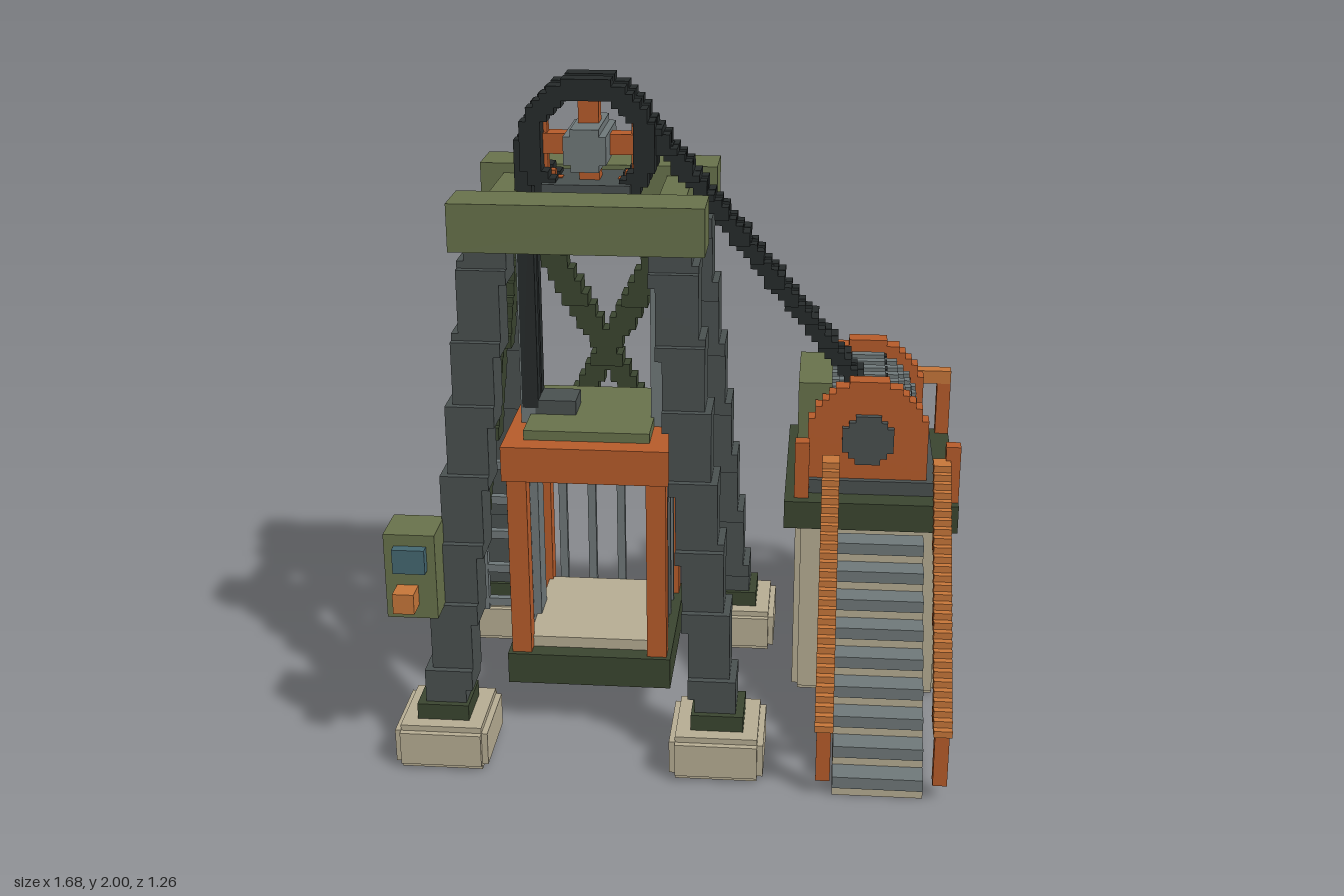
import * as THREE from 'three';

const V = 1 / 48; // block size of the stepped parts
const mat = (c) => new THREE.MeshStandardMaterial({ color: c, flatShading: true });
const M = {
  stone: mat(0xb8ae94), dark: mat(0x3b4630), olive: mat(0x69734c), orange: mat(0xb85c2b), rail: mat(0xc8773a),
  gray: mat(0x70797a), steel: mat(0x4a5150), black: mat(0x262b2b), blue: mat(0x456872),
};

// Stepped solid: every cell whose centre passes inside() is filled, outer faces only
function blocks(min, max, inside, cell = [V, V, V]) {
  const n = [0, 1, 2].map((k) => Math.max(1, Math.round((max[k] - min[k]) / cell[k])));
  const d = n.map((c, k) => (max[k] - min[k]) / c);
  const full = (c) => c.every((q, k) => q >= 0 && q < n[k]) &&
    inside(...c.map((q, k) => min[k] + (q + 0.5) * d[k]));
  const pos = [], idx = [];
  for (let i = 0; i < n[0]; i++) for (let j = 0; j < n[1]; j++) for (let l = 0; l < n[2]; l++) {
    const c = [i, j, l];
    if (!full(c)) continue;
    for (let a = 0; a < 3; a++) for (const s of [0, 1]) {
      const next = c.slice();
      next[a] += s ? 1 : -1;
      if (full(next)) continue;
      const u = (a + 1) % 3, w = (a + 2) % 3, base = pos.length / 3;
      for (const [p, q] of [[0, 0], [1, 0], [1, 1], [0, 1]]) {
        const e = c.slice();
        e[a] += s; e[u] += p; e[w] += q;
        pos.push(...e.map((t, k) => min[k] + t * d[k]));
      }
      idx.push(...(s ? [0, 1, 2, 0, 2, 3] : [0, 2, 1, 0, 3, 2]).map((t) => base + t));
    }
  }
  const g = new THREE.BufferGeometry();
  g.setAttribute('position', new THREE.Float32BufferAttribute(pos, 3));
  g.setIndex(idx);
  g.computeVertexNormals();
  const flat = g.toNonIndexed();
  flat.computeVertexNormals();
  return flat;
}

export function createModel() {
  const root = new THREE.Group();
  const add = (name, geo, m) => {
    const mesh = new THREE.Mesh(geo, M[m]);
    mesh.name = name;
    root.add(mesh);
    return mesh;
  };
  // Box given by its two ends on each axis
  const box = (name, m, x0, x1, y0, y1, z0, z1) => {
    const b = add(name, new THREE.BoxGeometry(x1 - x0, y1 - y0, z1 - z0), m);
    b.position.set((x0 + x1) / 2, (y0 + y1) / 2, (z0 + z1) / 2);
  };
  // Block with edges notched by one step
  const softBox = (name, m, x0, x1, y0, y1, z0, z1) => {
    const c = 0.018;
    box(name, m, x0, x1, y0 + c, y1 - c, z0 + c, z1 - c);
    box(name, m, x0 + c, x1 - c, y0, y1, z0 + c, z1 - c);
    box(name, m, x0 + c, x1 - c, y0 + c, y1 - c, z0, z1);
  };
  // Stepped beam from low point a to high point b, half widths hx and hz
  const beam = (name, m, a, b, hx, hz) => {
    const h = [hx, 0, hz];
    add(name, blocks(a.map((v, k) => Math.min(v, b[k]) - h[k]), a.map((v, k) => Math.max(v, b[k]) + h[k]), (x, y, z) => {
      const t = (y - a[1]) / (b[1] - a[1]);
      return Math.abs(x - a[0] - t * (b[0] - a[0])) < hx && Math.abs(z - a[2] - t * (b[2] - a[2])) < hz;
    }), m);
  };
  // Stepped disc or ring about the z axis
  const disc = (name, m, x, y, z0, z1, r, hole = 0) => add(name, blocks([x - r, y - r, z0], [x + r, y + r, z1],
    (p, q) => { const d = Math.hypot(p - x, q - y); return d <= r && d >= hole; }, [V, V, z1 - z0]), m);

  const CX = -0.2875, CZ = 0.02;

  // Footings and sloping tower legs
  for (const sx of [-1, 1]) for (const sz of [-1, 1]) {
    const x = CX + sx * 0.4125, z = CZ + sz * 0.41;
    softBox('footing', 'stone', x - 0.14, x + 0.14, 0, 0.14, z - 0.138, z + 0.138);
    box('legShoe', 'dark', x - 0.078, x + 0.078, 0.14, 0.19, z - 0.078, z + 0.078);
    beam('towerLeg', 'steel', [x - sx * 0.01, 0.19, z - sz * 0.005], [CX + sx * 0.265, 1.57, CZ + sz * 0.265], 0.064, 0.064);
  }

  // Crossed braces on the back, single brace on the right side
  for (const s of [-1, 1])
    beam('backBrace', 'dark', [CX + s * 0.37, 0.35, -0.37], [CX - s * 0.245, 1.53, -0.25], 0.04, 0.036);
  beam('sideBrace', 'dark', [-0.665, 0.38, 0.4], [-0.565, 1.5, -0.24], 0.036, 0.04);

  // Head frame
  box('frontHeadBeam', 'olive', -0.65, 0.075, 1.56, 1.7, 0.215, 0.37);
  box('backHeadBeam', 'olive', -0.65, 0.075, 1.56, 1.7, -0.295, -0.14);
  for (const s of [-1, 1]) {
    const x = CX + s * 0.25;
    box('sideHeadBeam', 'olive', x - 0.04, x + 0.04, 1.56, 1.67, -0.14, 0.215);
    const g = CX + s * 0.2;
    box('cageGuide', 'gray', g - 0.022, g + 0.022, 0.12, 1.57, -0.02, 0.08);
  }
  box('bearingBlock', 'steel', -0.42, -0.16, 1.62, 1.7, -0.08, 0.125);

  // Head wheel
  const WX = -0.2875, WY = 1.805, WZ = 0.024;
  for (const s of [-1, 1]) {
    const z = WZ + s * 0.047;
    disc('wheelRim', 'black', WX, WY, z - 0.031, z + 0.031, 0.197, 0.14);
  }
  disc('wheelCore', 'orange', WX, WY, WZ - 0.016, WZ + 0.016, 0.185, 0.135);
  box('wheelSpoke', 'orange', WX - 0.15, WX + 0.15, WY - 0.03, WY + 0.03, WZ - 0.03, WZ + 0.03);
  box('wheelSpoke', 'orange', WX - 0.03, WX + 0.03, WY - 0.15, WY + 0.15, WZ - 0.03, WZ + 0.03);
  disc('wheelHub', 'gray', WX, WY, -0.1, 0.15, 0.062);

  // Ropes: down to the cage and across to the drum
  for (const s of [-1, 1]) {
    const z = WZ + s * 0.034;
    box('cageRope', 'black', -0.505, -0.455, 0.99, 1.82, z - 0.024, z + 0.024);
    beam('drumRope', 'black', [0.53, 0.99, -0.245 + s * 0.034], [-0.125, 1.88, z], 0.03, 0.026);
  }
  for (let i = 1; i < 20; i++) {
    const t = i / 20, x = -0.125 + 0.655 * t, y = 1.88 - 0.89 * t, z = WZ - 0.269 * t;
    box('ropeTie', 'black', x - 0.015, x + 0.015, y - 0.01, y + 0.01, z - 0.03, z + 0.03);
  }
  box('ropeClamp', 'steel', -0.5, -0.34, 0.96, 1.015, -0.03, 0.08);

  // Cage
  box('cageBase', 'dark', -0.54, -0.035, 0.15, 0.25, -0.245, 0.285);
  box('cageFloor', 'stone', -0.48, -0.095, 0.25, 0.285, -0.19, 0.23);
  box('cageTopFrame', 'orange', -0.54, -0.035, 0.83, 0.94, -0.245, 0.285);
  box('cageRoof', 'olive', -0.48, -0.1, 0.94, 0.97, -0.18, 0.22);
  for (const sx of [-1, 1]) for (const sz of [-1, 1]) {
    const x = CX + sx * 0.21, z = CZ + sz * 0.22;
    box('cagePost', 'orange', x - 0.03, x + 0.03, 0.25, 0.83, z - 0.03, z + 0.03);
  }
  for (let i = 0; i < 4; i++) {
    const x = CX + (i - 1.5) * 0.096, z = CZ + (i - 1.5) * 0.1;
    box('backBar', 'gray', x - 0.013, x + 0.013, 0.25, 0.83, -0.215, -0.19);
    for (const s of [-1, 1]) {
      const q = CX + s * 0.215;
      box('sideBar', 'gray', q - 0.012, q + 0.012, 0.25, 0.83, z - 0.012, z + 0.012);
    }
  }

  // Ladder beside the cage
  for (const x of [-0.645, -0.55]) box('ladderRail', 'gray', x - 0.013, x + 0.013, 0.3, 0.83, 0.06, 0.09);
  for (let i = 0; i < 5; i++) {
    const y = 0.325 + i * 0.118;
    box('ladderRung', 'gray', -0.645, -0.51, y - 0.013, y + 0.013, 0.063, 0.087);
  }

  // Control box on the front leg
  box('controlBox', 'olive', -0.84, -0.69, 0.5, 0.765, 0.405, 0.545);
  box('controlScreen', 'blue', -0.81, -0.715, 0.655, 0.73, 0.54, 0.575);
  disc('controlKnob', 'rail', -0.775, 0.575, 0.54, 0.61, 0.031);

  // Winch house
  softBox('winchHouse', 'stone', 0.335, 0.805, 0, 0.6, -0.595, 0);
  box('winchDeck', 'dark', 0.3, 0.84, 0.595, 0.685, -0.628, 0.035);
  box('winchPlate', 'steel', 0.36, 0.77, 0.685, 0.73, -0.55, -0.04);
  box('winchMotor', 'olive', 0.335, 0.44, 0.685, 1.018, -0.435, -0.135);

  // Winch drum with flanges and rope grooves
  const DX = 0.555, DY = 0.865;
  for (const [z0, z1] of [[-0.118, -0.06], [-0.53, -0.47]]) {
    disc('drumFlange', 'orange', DX, DY, z0, z1, 0.187);
    box('drumBracket', 'orange', DX - 0.187, DX + 0.187, 0.73, DY, z0, z1);
  }
  const step = 0.352 / 11;
  for (let i = 0; i < 11; i++) {
    const z = -0.47 + i * step;
    disc('drumBand', i % 2 ? 'gray' : 'black', DX, DY, z, z + step, i % 2 ? 0.158 : 0.143);
  }
  disc('drumAxle', 'steel', DX, DY, -0.55, -0.04, 0.08);

  // Deck railing
  box('deckRail', 'rail', 0.33, 0.84, 0.865, 0.91, -0.63, -0.585);
  for (const x of [0.33, 0.795]) {
    box('deckRailPost', 'orange', x, x + 0.045, 0.66, 0.87, -0.63, -0.585);
    box('deckFrontPost', 'orange', x, x + 0.045, 0.67, 0.87, -0.042, 0.003);
  }

  // Stairs: solid steps with metal treads
  for (let i = 0; i < 9; i++) {
    const z = 0.61 - i * 0.0635, y = 0.0645 * (i + 1);
    box('stairStep', 'stone', 0.47, 0.735, 0, y - 0.035, 0.035, z - 0.008);
    box('stairTread', 'gray', 0.47, 0.735, y - 0.037, y, z - 0.075, z);
  }

  // Stair handrails
  for (const x of [0.442, 0.783]) {
    beam('handrail', 'rail', [x, 0.225, 0.603], [x, 0.825, 0.015], 0.027, 0.03);
    for (const z of [0.588, 0.458, 0.25, 0.08]) {
      const foot = 0.05 + (0.588 - z) * 1.0;
      box('handrailPost', 'orange', x - 0.021, x + 0.021, foot, foot + 0.2, z - 0.022, z + 0.022);
    }
  }
  return root;
}
